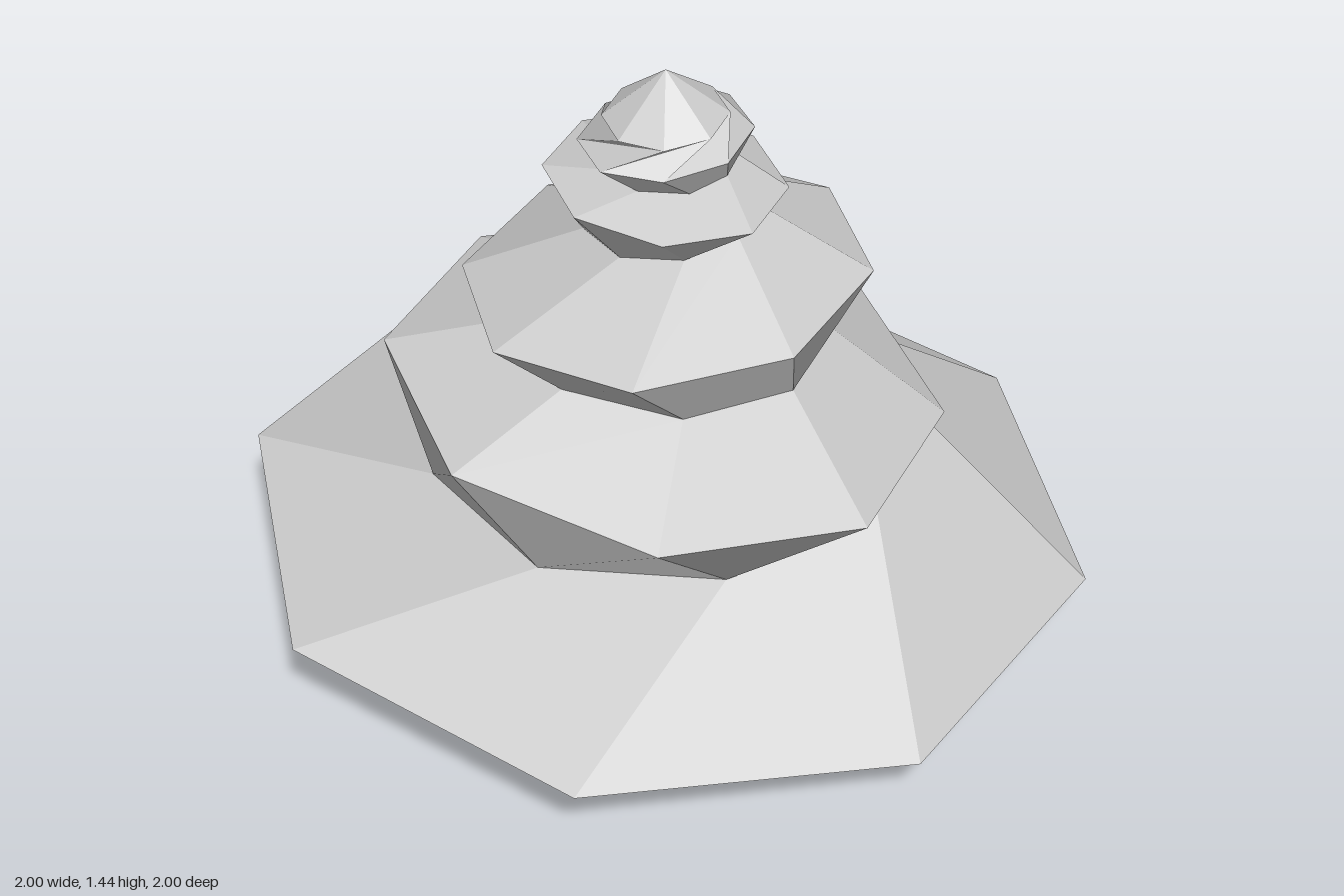
import * as THREE from 'three';

const SIDES = 8;
// Facet normals are set per quad, so each panel shades as one flat face
const material = new THREE.MeshStandardMaterial({ color: 0xcccccc, side: THREE.DoubleSide });

// Each ring: radius, height, tilt along its own first axis, twist in degrees
const RINGS = [
  [0.67, 0, 0, 0],
  [1.015, 0.205, -0.06, 9.8],
  [0.56, 0.44, 0.047, -15.5],
  [0.655, 0.598, -0.142, 0],
  [0.37, 0.757, -0.085, -7.5],
  [0.475, 0.908, 0.092, 7.3],
  [0.19, 1.06, 0.07, -14],
  [0.277, 1.16, -0.09, 0],
  [0.15, 1.207, -0.04, -22],
  [0.198, 1.275, 0.1, 0],
  [0.143, 1.326, 0.06, -45],
  [0, 1.44, 0, -45],
];

// Corner i of a ring
function corner([radius, height, tilt, twist], i) {
  const local = (i * 2 * Math.PI) / SIDES;
  const a = local + THREE.MathUtils.degToRad(twist);
  return new THREE.Vector3(
    radius * Math.cos(a), height + tilt * radius * Math.cos(local), radius * Math.sin(a));
}

// Twisted bands of flat panels between neighbouring rings
function shell(rings) {
  const points = [], normals = [];
  for (let r = 0; r < rings.length - 1; r++) {
    const [lower, upper] = [rings[r], rings[r + 1]];
    for (let i = 0; i < SIDES; i++) {
      const a = corner(lower, i), b = corner(lower, i + 1);
      const c = corner(upper, i), d = corner(upper, i + 1);
      const panel = upper[0] === 0 ? [a, c, b] : [a, c, b, b, c, d];
      const normal = d.clone().sub(a).cross(b.clone().sub(c)).normalize();
      for (const p of panel) {
        points.push(p);
        normals.push(...normal.toArray());
      }
    }
  }
  const geometry = new THREE.BufferGeometry().setFromPoints(points);
  geometry.setAttribute('normal', new THREE.Float32BufferAttribute(normals, 3));
  return geometry;
}

export function createModel() {
  const model = new THREE.Group();
  model.name = 'layeredTree';

  // Foliage tiers: flared underside and sloping top, open at the bottom
  const names = ['bottomTier', 'lowerTier', 'middleTier', 'upperTier'];
  names.forEach((name, t) => {
    const tier = new THREE.Mesh(shell(RINGS.slice(2 * t, 2 * t + 3)), material);
    tier.name = name;
    model.add(tier);
  });

  // Pointed tip
  const tip = new THREE.Mesh(shell(RINGS.slice(8)), material);
  tip.name = 'treeTip';
  model.add(tip);

  return model;
}
